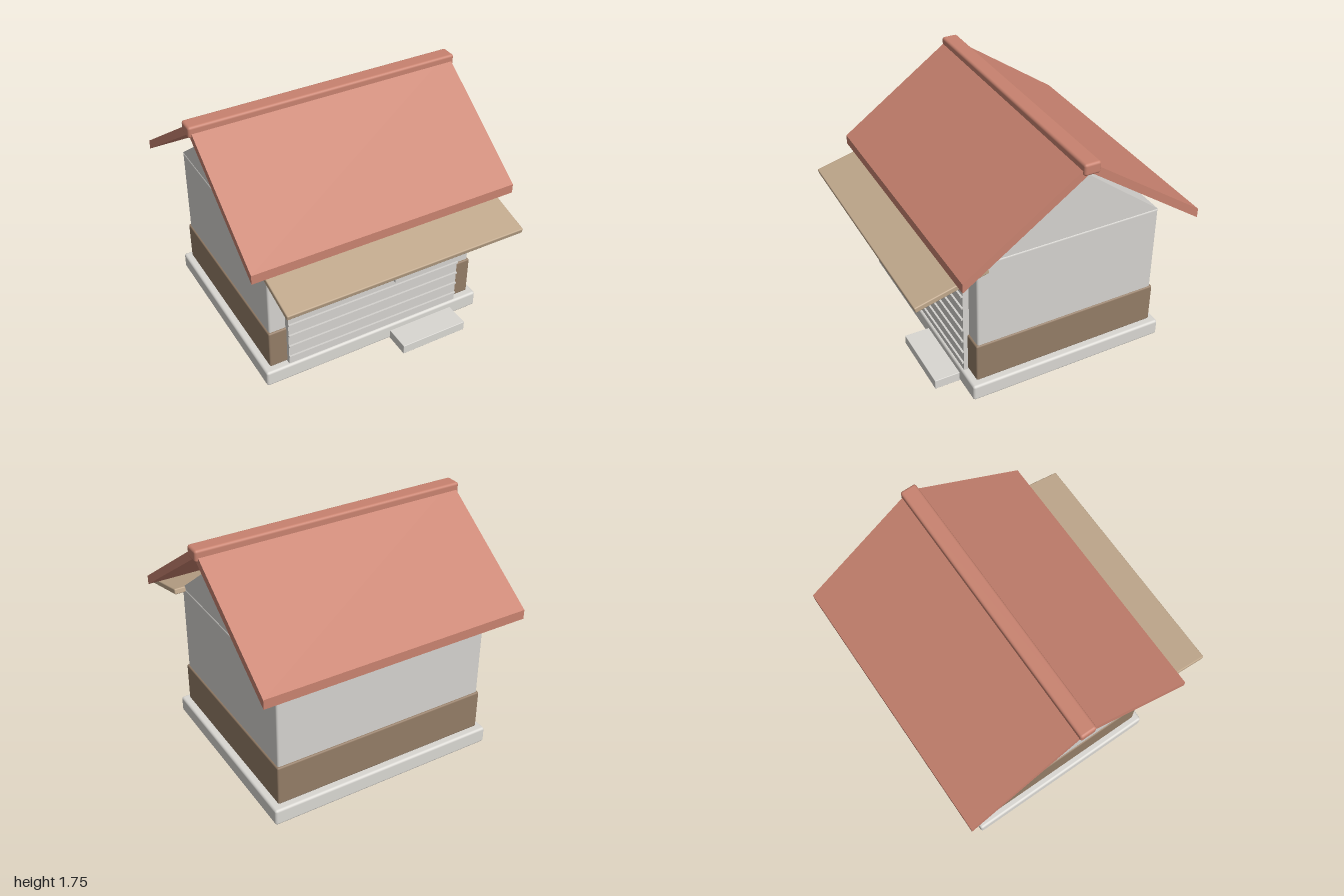
import * as THREE from 'three';
import { RoundedBoxGeometry } from 'three/addons/geometries/RoundedBoxGeometry.js';

const material = (name, color) => {
  const m = new THREE.MeshStandardMaterial({ color });
  m.name = name;
  return m;
};

export function createModel() {
  const house = new THREE.Group();
  house.name = 'house';

  const plaster = material('plaster', 0xd4d2ce);
  const stone = material('stone', 0xd9d7d2);
  const brown = material('wainscot brown', 0x937c66);
  const wood = material('frame wood', 0x967256);
  const tan = material('canopy tan', 0xbfa78b);
  const red = material('roof red', 0xc8826f);

  const add = (name, geometry, mat) => {
    const mesh = new THREE.Mesh(geometry, mat);
    mesh.name = name;
    house.add(mesh);
    return mesh;
  };

  // Box given by its limits, with optional rounded edges
  const box = (name, mat, [x0, x1], [y0, y1], [z0, z1], radius = 0) => {
    const size = [x1 - x0, y1 - y0, z1 - z0];
    const geometry = radius
      ? new RoundedBoxGeometry(...size, 3, radius)
      : new THREE.BoxGeometry(...size);
    const mesh = add(name, geometry, mat);
    mesh.position.set((x0 + x1) / 2, (y0 + y1) / 2, (z0 + z1) / 2);
    return mesh;
  };

  // Prism along x with a [z, y] cross-section
  const prism = (name, mat, points, halfWidth) => {
    const shape = new THREE.Shape(points.map(([z, y]) => new THREE.Vector2(-z, y)));
    const geometry = new THREE.ExtrudeGeometry(shape, { depth: 2 * halfWidth, bevelEnabled: false });
    geometry.translate(0, 0, -halfWidth).rotateY(Math.PI / 2);
    return add(name, geometry, mat);
  };

  // Foundation and doorstep
  box('foundation', stone, [-0.857, 0.857], [0, 0.122], [-0.872, 0.602], 0.018);
  box('doorstep', stone, [0.12, 0.635], [0, 0.072], [0.56, 0.785], 0.004);

  // Walls, lower band and gable
  box('walls', plaster, [-0.8, 0.8], [0.12, 1.085], [-0.812, 0.542], 0.015);
  box('wainscot', brown, [-0.81, 0.81], [0.125, 0.425], [-0.825, 0.555], 0.012);
  prism('gable', plaster, [[0.54, 1.082], [-0.135, 1.602], [-0.81, 1.082]], 0.797);

  // Front cladding with thin horizontal battens
  box('frontCladding', plaster, [-0.68, 0.675], [0.122, 0.925], [0.54, 0.585]);
  for (let i = 0; i < 8; i++) {
    const y = 0.19 + i * 0.0955;
    box('batten' + (i + 1), plaster, [-0.68, 0.675], [y - 0.006, y + 0.006], [0.58, 0.599]);
  }
  box('frontPanel', plaster, [0.14, 0.335], [0.52, 0.775], [0.57, 0.607]);

  // Window frame behind the cladding, with its upright bar
  box('windowFrame', wood, [-0.547, -0.18], [0.64, 0.95], [0.53, 0.566]);
  box('windowBar', wood, [-0.371, -0.353], [0.645, 0.93], [0.55, 0.601]);

  // Sloping front canopy
  const canopy = box('canopy', tan, [-0.88, 0.878], [1.002, 1.042], [0.487, 1.003], 0.008);
  canopy.rotation.x = 0.25;

  // Pitched roof with upright-cut eaves, and ridge cap
  prism('roof', red, [
    [0.725, 1.067], [0.725, 1.135], [-0.135, 1.736],
    [-0.995, 1.135], [-0.995, 1.067], [-0.135, 1.668],
  ], 0.98);
  box('ridgeCap', red, [-1, 1], [1.662, 1.745], [-0.196, -0.078], 0.018);

  return house;
}
